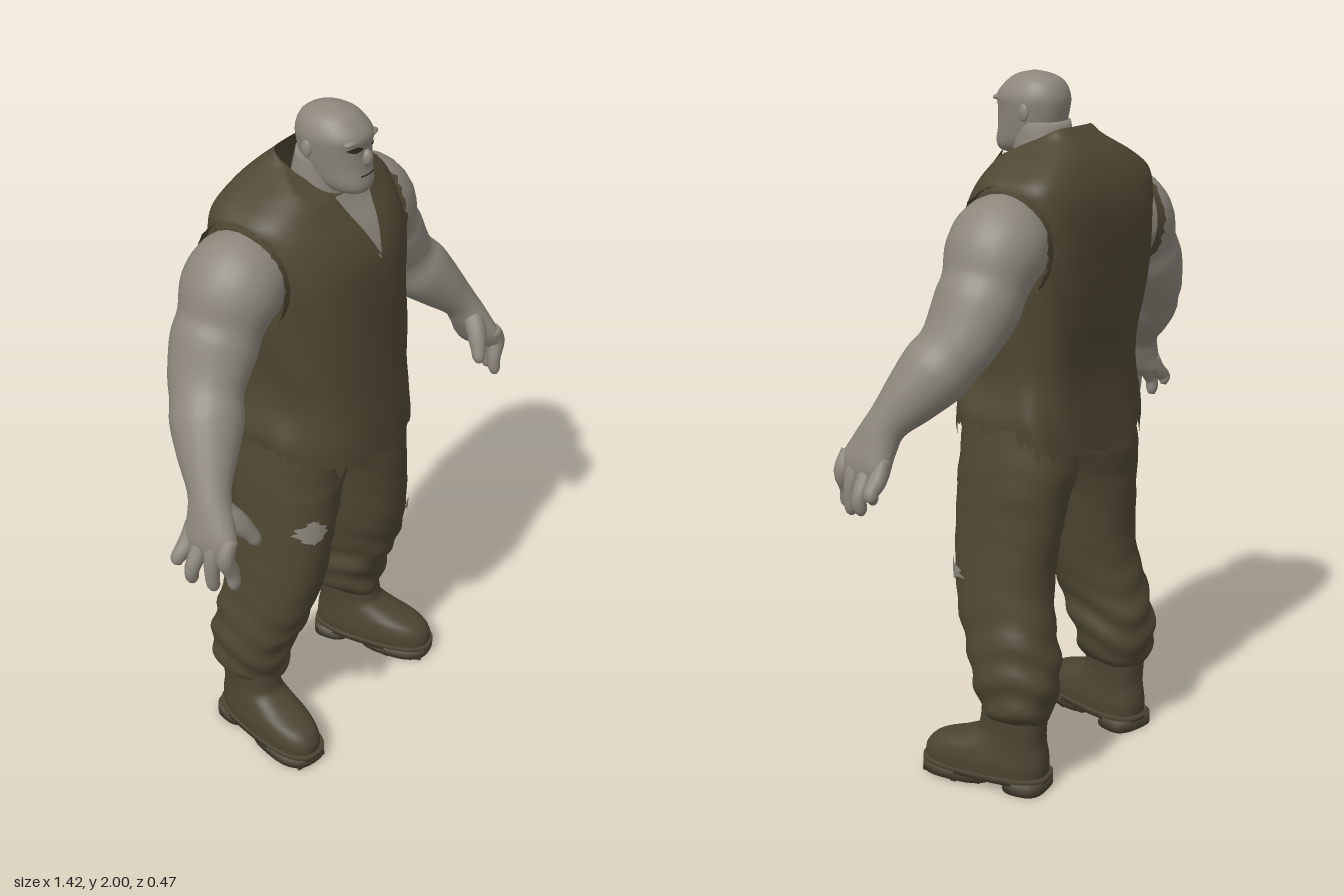
import * as THREE from 'three';

const material = (name, color, side = THREE.FrontSide) => {
  const m = new THREE.MeshStandardMaterial({ color, side });
  m.name = name;
  return m;
};

// Catmull-Rom interpolation between rows of numbers
function smooth(rows, k) {
  const out = [], at = i => rows[Math.max(0, Math.min(rows.length - 1, i))];
  for (let i = 0; i < rows.length - 1; i++)
    for (let s = 0; s < k; s++) {
      const t = s / k;
      out.push(rows[i].map((b, c) => {
        const a = at(i - 1)[c], d = at(i + 1)[c], e = at(i + 2)[c];
        return b + 0.5 * t * (d - a + t * (2 * a - 5 * b + 4 * d - e + t * (3 * (b - d) + e - a)));
      }));
    }
  out.push(rows[rows.length - 1]);
  return out;
}

// Closed rings of points joined into a skin, with end caps if wanted
function loft(rings, caps = true) {
  const n = rings[0].length, pos = [], idx = [];
  rings.forEach(r => r.forEach(p => pos.push(...p)));
  for (let i = 0; i < rings.length - 1; i++)
    for (let j = 0; j < n; j++) {
      const a = i * n + j, b = i * n + (j + 1) % n;
      idx.push(a, b, a + n, b, b + n, a + n);
    }
  if (caps) [0, rings.length - 1].forEach((r, end) => {
    const c = pos.length / 3;
    pos.push(...[0, 1, 2].map(k => rings[r].reduce((s, p) => s + p[k], 0) / n));
    for (let j = 0; j < n; j++) {
      const a = r * n + j, b = r * n + (j + 1) % n;
      idx.push(c, end ? a : b, end ? b : a);
    }
  });
  const g = new THREE.BufferGeometry();
  g.setAttribute('position', new THREE.Float32BufferAttribute(pos, 3));
  g.setIndex(idx);
  g.computeVertexNormals();
  return g;
}

// Horizontal slices: [y, centreX, halfWidth, zFront, zBack]; nf and nb square off front and back
function slices(rows, { n = 40, nf = 2.2, nb = 2.2, caps = true, bend = p => p } = {}) {
  return loft(rows.map(([y, cx, hw, zf, zb], i) => Array.from({ length: n }, (_, j) => {
    const a = j / n * Math.PI * 2, s = Math.sin(a), c = Math.cos(a), e = 2 / (c > 0 ? nf : nb);
    const x = Math.sign(s) * Math.abs(s) ** e, z = Math.sign(c) * Math.abs(c) ** e;
    return bend([cx + hw * x, y, (zf + zb) / 2 + (zf - zb) / 2 * z], i, j, a);
  })), caps);
}

// Front surface depth of a stack of slices
const frontOf = (rows, nf = 2.2) => (x, y) => {
  let i = 0;
  while (i < rows.length - 2 && rows[i + 1][0] < y) i++;
  const t = (y - rows[i][0]) / (rows[i + 1][0] - rows[i][0]);
  const [, cx, hw, zf, zb] = rows[i].map((v, k) => v + (rows[i + 1][k] - v) * t);
  const u = Math.min(1, Math.abs((x - cx) / hw));
  return (zf + zb) / 2 + (zf - zb) / 2 * (1 - u ** nf) ** (1 / nf);
};

// Thin plate laid on a front surface between two edges
function patch(front, y0, y1, left, right, offset) {
  const g = new THREE.PlaneGeometry(1, 1, 12, 14), p = g.attributes.position;
  for (let i = 0; i < p.count; i++) {
    const u = p.getX(i) + 0.5, v = p.getY(i) + 0.5, y = y0 + (y1 - y0) * v;
    const x = left(v) + (right(v) - left(v)) * u;
    p.setXYZ(i, x, y, front(x, y) + offset);
  }
  g.computeVertexNormals();
  return g;
}

// Limb along a path: [x, y, z, thickness, depth]
function limb(rows, k = 5, n = 24) {
  const r = smooth(rows, k), V = a => new THREE.Vector3(a[0], a[1], a[2]);
  return loft(r.map((s, i) => {
    const t = V(r[Math.min(i + 1, r.length - 1)]).sub(V(r[Math.max(i - 1, 0)])).normalize();
    const u = new THREE.Vector3(0, 0, 1).addScaledVector(t, -t.z).normalize();
    const w = new THREE.Vector3().crossVectors(t, u);
    return Array.from({ length: n }, (_, j) => {
      const a = j / n * Math.PI * 2;
      return V(s).addScaledVector(u, Math.cos(a) * s[4]).addScaledVector(w, Math.sin(a) * s[3]).toArray();
    });
  }));
}

function mirror(g) {
  const m = g.clone().scale(-1, 1, 1), src = Array.from(m.index.array);
  for (let i = 0; i < src.length; i += 3) [src[i], src[i + 1]] = [src[i + 1], src[i]];
  m.setIndex(src);
  m.computeVertexNormals();
  return m;
}

const ball = (x, y, z, a, b, c) => new THREE.SphereGeometry(1, 18, 12).scale(a, b, c).translate(x, y, z);

export function createModel() {
  const model = new THREE.Group();
  const skin = material('skin', 0x8c867b);
  const cloth = material('cloth', 0x4f4733, THREE.DoubleSide);
  const leather = material('boot leather', 0x4b4432);
  const dark = material('dark detail', 0x35302a);
  const add = (name, g, m) => {
    const mesh = new THREE.Mesh(g, m);
    mesh.name = name;
    model.add(mesh);
  };
  const both = (name, g, m) => { add(name + 'Left', g, m); add(name + 'Right', mirror(g), m); };
  let seed = 7;
  const rnd = () => (seed = seed * 16807 % 2147483647) / 2147483647;

  // Head and neck
  const head = smooth([
    [1.777, 0, 0.03, 0.135, 0.06], [1.787, 0, 0.052, 0.15, 0.03], [1.81, 0, 0.068, 0.154, -0.01],
    [1.85, 0, 0.077, 0.146, -0.045], [1.9, 0, 0.083, 0.144, -0.06], [1.935, 0, 0.084, 0.147, -0.062],
    [1.97, 0, 0.068, 0.118, -0.047], [1.99, 0, 0.042, 0.088, -0.015], [2, 0, 0.006, 0.045, 0.03]], 4);
  add('head', slices(head), skin);
  add('neck', slices(smooth([[1.62, 0, 0.1, 0.09, -0.1], [1.75, 0, 0.085, 0.088, -0.085],
    [1.87, 0, 0.075, 0.1, -0.062]], 4)), skin);
  add('nose', ball(0, 1.876, 0.144, 0.016, 0.024, 0.018), skin);
  both('brow', ball(0.035, 1.927, 0.126, 0.034, 0.009, 0.016), skin);
  both('ear', ball(0.083, 1.895, 0.015, 0.008, 0.024, 0.016), skin);
  const face = frontOf(head);
  both('eye', patch(face, 1.899, 1.918, v => 0.038 - 0.02 * Math.sin(Math.PI * v), v => 0.038 + 0.02 * Math.sin(Math.PI * v), 0.003), dark);
  add('mouth', patch(face, 1.831, 1.835, () => -0.028, () => 0.028, 0.003), dark);

  // Sleeveless vest: hem torn and raised at the sides, neckline sloping down to the front
  const vest = smooth([
    [1.02, 0, 0.27, 0.228, -0.2], [1.08, 0, 0.268, 0.224, -0.195], [1.2, 0, 0.245, 0.215, -0.192],
    [1.35, 0, 0.255, 0.208, -0.21], [1.5, 0, 0.266, 0.202, -0.225], [1.6, 0, 0.27, 0.19, -0.23],
    [1.68, 0, 0.272, 0.155, -0.225], [1.735, 0, 0.262, 0.115, -0.208], [1.78, 0, 0.2, 0.09, -0.185],
    [1.81, 0, 0.145, 0.075, -0.162], [1.835, 0, 0.105, 0.06, -0.135], [1.862, 0, 0.088, 0.045, -0.105]], 4);
  const tear = Array.from({ length: 80 }, (_, j) => (j % 2 ? 0.008 : 0.05) * rnd() ** 1.5);
  add('vest', slices(vest, {
    n: 80, nf: 2.3, nb: 4.2, caps: false,
    bend: ([x, y, z], i, j, a) => {
      const f = 0.004 * Math.sin(a * 7 + y * 17) * Math.max(0, Math.min(1, (1.7 - y) * 4));
      const lift = (0.055 * Math.abs(Math.sin(a)) ** 4 - 0.025 * Math.max(0, -Math.cos(a))) * Math.max(0, 1 - i / 8);
      const top = Math.min(y + lift - (i ? 0 : tear[j]), 1.862 - 0.5 * (z + 0.1));
      return [x + f * Math.sin(a), top, z + f * Math.cos(a)];
    }
  }), cloth);
  const chest = frontOf(vest, 2.3);
  add('openChest', patch(chest, 1.6, 1.775, v => -0.078 * v, v => 0.078 * v, 0.006), skin);
  add('vestPlacket', patch(chest, 1.025, 1.6, () => -0.004, () => 0.022, 0.009), cloth);
  both('lapel', patch(chest, 1.61, 1.79, v => 0.076 * v,
    v => 0.076 * v + (v < 0.55 ? 0.14 * v : 0.077 * (1 - v) / 0.45 + 0.01), 0.012), cloth);

  // Frayed armhole edges
  const fringe = [0.245, 0.26, 0.272].map((x, i) => Array.from({ length: 60 }, (_, j) => {
    const a = j / 60 * Math.PI * 2, r = 1 + 0.02 * i;
    return [x + (i === 2 ? (rnd() - 0.5) * 0.018 : 0), 1.575 + 0.152 * r * Math.cos(a), -0.06 + 0.145 * r * Math.sin(a)];
  }));
  both('armholeFray', loft(fringe, false), cloth);

  // Muscular arms, palms and fingers
  both('arm', limb([
    [0.2, 1.6, -0.06, 0.1, 0.115], [0.265, 1.588, -0.06, 0.13, 0.135], [0.312, 1.555, -0.062, 0.125, 0.138],
    [0.352, 1.488, -0.062, 0.106, 0.122], [0.385, 1.435, -0.06, 0.107, 0.122], [0.43, 1.365, -0.047, 0.091, 0.112],
    [0.46, 1.318, -0.028, 0.087, 0.101], [0.492, 1.272, -0.002, 0.092, 0.1],
    [0.54, 1.21, 0.037, 0.074, 0.082], [0.587, 1.145, 0.078, 0.052, 0.06], [0.612, 1.09, 0.1, 0.046, 0.068],
    [0.635, 1.035, 0.115, 0.039, 0.082], [0.648, 0.995, 0.12, 0.024, 0.076]]), skin);
  [[0.055, 0.692, 0.048, 0.955], [0.097, 0.69, 0.092, 0.915], [0.14, 0.668, 0.145, 0.9], [0.18, 0.638, 0.19, 0.905]]
    .forEach(([z, x, tipZ, tipY], i) => both('finger' + (i + 1), limb([
      [0.63, 1.06, z, 0.02, 0.02], [0.655, 1.01, z, 0.025, 0.024],
      [x - 0.003, (1.01 + tipY) / 2, (z + tipZ) / 2, 0.021, 0.02],
      [x - 0.005, tipY + 0.015, tipZ, 0.018, 0.017], [x - 0.008, tipY, tipZ, 0.009, 0.009]], 3, 12), skin));
  both('thumb', limb([[0.6, 1.115, 0.12, 0.032, 0.032], [0.573, 1.07, 0.155, 0.032, 0.03],
    [0.55, 1.03, 0.178, 0.022, 0.022], [0.54, 1.005, 0.188, 0.018, 0.018], [0.535, 0.992, 0.19, 0.008, 0.008]], 4, 12), skin);

  // Baggy trousers gathered above the boots
  const leg = smooth([
    [0.215, 0.245, 0.072, 0.025, -0.175], [0.245, 0.245, 0.094, 0.035, -0.192], [0.3, 0.241, 0.108, 0.045, -0.198],
    [0.36, 0.238, 0.112, 0.065, -0.2], [0.45, 0.23, 0.109, 0.1, -0.185], [0.6, 0.205, 0.115, 0.142, -0.155],
    [0.8, 0.176, 0.12, 0.16, -0.172], [0.9, 0.155, 0.135, 0.163, -0.186], [0.96, 0.138, 0.144, 0.164, -0.19],
    [1.1, 0.122, 0.138, 0.165, -0.178]], 6);
  both('trouserLeg', slices(leg, {
    n: 48, bend: ([x, y, z], i, j, a) => {
      const f = (0.005 * Math.sin(y * 62 + 2.4 * Math.sin(a * 2 + 0.6)) + 0.003 * Math.sin(y * 31 - a * 3))
        * Math.max(0.2, Math.min(1, (0.65 - y) * 4));
      return [x + f * Math.sin(a), y, z + f * Math.cos(a)];
    }
  }), cloth);
  add('trouserSeat', slices(smooth([[0.945, 0, 0.04, 0.06, -0.09], [0.985, 0, 0.14, 0.14, -0.165],
    [1.03, 0, 0.2, 0.158, -0.18], [1.12, 0, 0.24, 0.165, -0.178]], 4), { nf: 2.6, nb: 2.6 }), cloth);

  // Torn holes showing skin
  const thigh = frontOf(leg);
  const jag = v => 0.006 * Math.sin(v * 25);
  const hole = (x, y, w, h) => patch(thigh, y - h, y + h,
    v => x - w * Math.sin(Math.PI * v) + jag(v), v => x + w * Math.sin(Math.PI * v) - jag(v), 0.008);
  add('kneeHole', hole(0.265, 0.625, 0.044, 0.035), skin);
  add('thighHole', mirror(hole(0.235, 0.81, 0.038, 0.042)), skin);

  // Boots, turned out a little, with separate heel, sole and tread lugs
  const place = g => g.rotateY(0.2).translate(0.252, 0, -0.08);
  both('bootUpper', place(slices(smooth([
    [0.035, 0, 0.078, 0.285, -0.095], [0.075, 0, 0.08, 0.285, -0.098], [0.11, 0, 0.075, 0.255, -0.095],
    [0.135, 0, 0.07, 0.185, -0.09], [0.165, 0, 0.066, 0.12, -0.088], [0.2, 0, 0.066, 0.105, -0.09],
    [0.25, 0, 0.066, 0.1, -0.09]], 4), { nf: 2.4, nb: 2.6 })), leather);
  const slab = (y0, y1, hw, zf, zb) => place(slices([[y0, 0, hw, zf, zb], [y1, 0, hw, zf, zb]], { nf: 2.6, nb: 3 }));
  both('bootWelt', slab(0.028, 0.046, 0.083, 0.294, -0.102), leather);
  both('bootHeel', slab(0, 0.035, 0.078, 0.03, -0.1), leather);
  both('bootSole', slab(0.008, 0.035, 0.081, 0.291, 0.06), leather);
  for (let i = 0; i < 6; i++)
    both('treadLug' + (i + 1), place(new THREE.BoxGeometry(0.15 - 0.016 * Math.abs(i - 2), 0.016, 0.018)
      .translate(0, 0.008, 0.1 + i * 0.034)), leather);

  return model;
}
